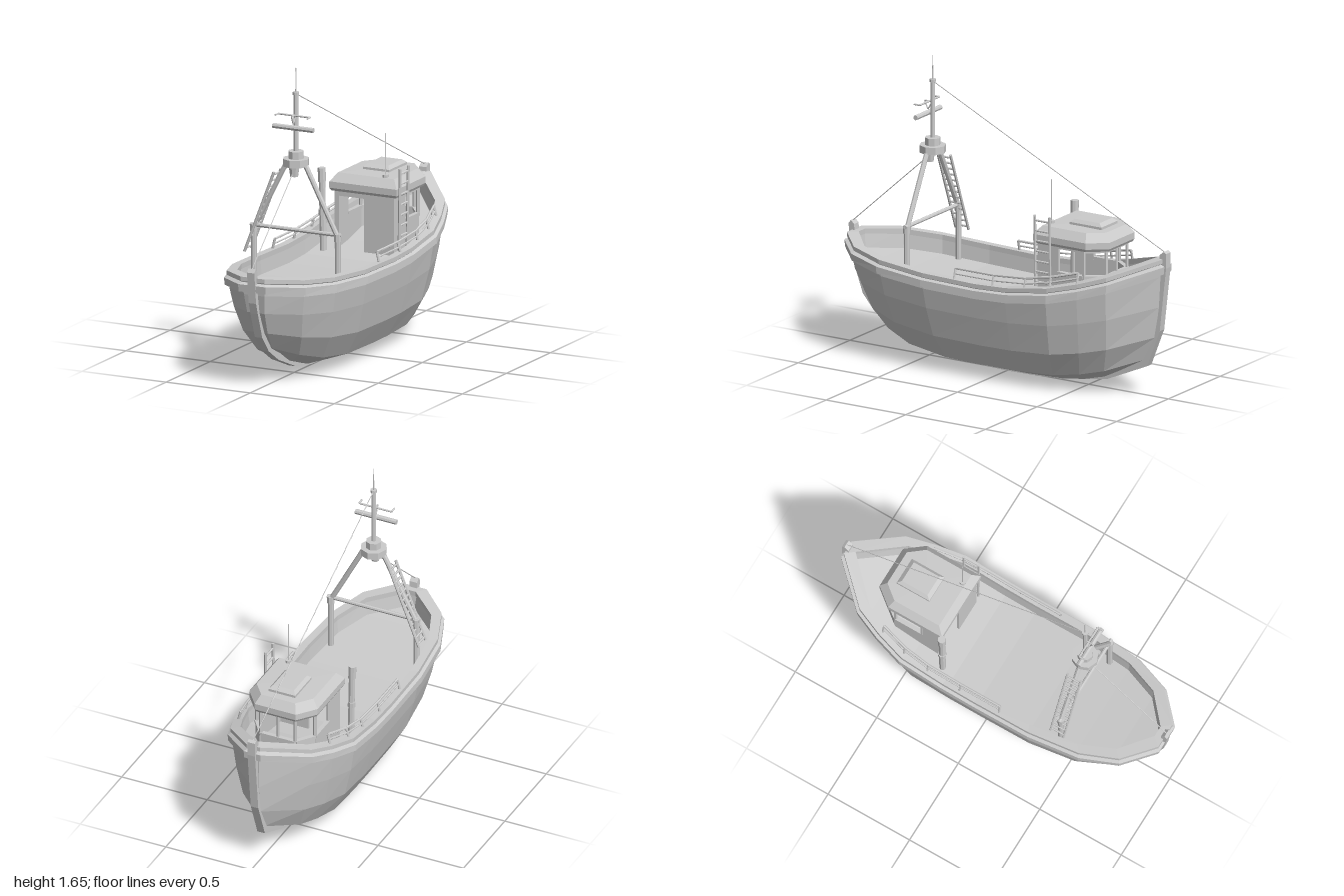
import * as THREE from 'three';

const mat = new THREE.MeshStandardMaterial({ color: 0xcccccc, flatShading: true, side: THREE.DoubleSide });
const V = (x, y, z) => new THREE.Vector3(x, y, z);
const lerp = THREE.MathUtils.lerp;

function add(parent, name, geo) {
  const m = new THREE.Mesh(geo, mat);
  m.name = name;
  parent.add(m);
  return m;
}

// Skin a stack of closed rings of points
function loft(rings) {
  const n = rings[0].length, idx = [];
  for (let j = 0; j < rings.length - 1; j++) {
    for (let i = 0; i < n; i++) {
      const a = j * n + i, b = j * n + (i + 1) % n;
      idx.push(a, b, b + n, a, b + n, a + n);
    }
  }
  const g = new THREE.BufferGeometry().setFromPoints(rings.flat());
  g.setIndex(idx);
  const flat = g.toNonIndexed();
  flat.computeVertexNormals();
  return flat;
}

// Round bar between two points
function rod(parent, name, a, b, r, r2 = r, sides = 8) {
  const d = b.clone().sub(a);
  const m = add(parent, name, new THREE.CylinderGeometry(r2, r, d.length(), sides));
  m.position.copy(a).add(b).multiplyScalar(0.5);
  m.quaternion.setFromUnitVectors(V(0, 1, 0), d.normalize());
  return m;
}

function pipe(parent, name, pts, r) {
  for (let i = 0; i < pts.length - 1; i++) rod(parent, name, pts[i], pts[i + 1], r, r, 6);
}

function ladder(parent, name, bottom, top, half, rungs) {
  const g = new THREE.Group();
  g.name = name;
  parent.add(g);
  const side = V(0, 0, half);
  for (const s of [-1, 1]) {
    const o = side.clone().multiplyScalar(s);
    rod(g, 'ladderSide', bottom.clone().add(o), top.clone().add(o), 0.008, 0.008, 6);
  }
  for (let i = 0; i < rungs; i++) {
    const p = bottom.clone().lerp(top, (i + 0.5) / rungs);
    rod(g, 'rung', p.clone().sub(side), p.clone().add(side), 0.006, 0.006, 6);
  }
}

// Hull waterlines: half width, middle height, stern z/y, bow z/y, curve power
const levels = [
  [0.06, 0.02, 0.70, 0.15, -0.80, 0.16, 4],
  [0.20, 0.07, 0.80, 0.20, -0.87, 0.20, 3],
  [0.275, 0.20, 0.88, 0.30, -0.93, 0.33, 2.6],
  [0.315, 0.36, 0.935, 0.42, -0.955, 0.50, 2.2],
  [0.335, 0.47, 0.955, 0.52, -0.965, 0.67, 2],
  [0.33, 0.545, 0.965, 0.61, -0.97, 0.76, 2],
];
// Stations from stern to bow: position, plan fullness
const stations = [[1, 0], [1, 0.2], [0.85, 0.68], [0.64, 0.91], [0.34, 1], [0, 1], [-0.2, 1],
  [-0.46, 0.99], [-0.63, 0.86], [-0.78, 0.7], [-1, 0.1], [-1, 0]];

function hullPoint([t, p], level, out, up) {
  const j = Math.min(Math.floor(level), 4);
  const [w, mid, zs, ys, zb, yb, k] = levels[j].map((v, i) => lerp(v, levels[j + 1][i], level - j));
  const s = Math.pow(Math.abs(t), k);
  const x = w * Math.pow(p, 1 + (5 - level) * 0.06);
  return V(p ? Math.max(x + out, 0) : 0, lerp(mid, t > 0 ? ys : yb, s) + up,
    Math.abs(t) * (t > 0 ? zs : zb) * (1 + out * 1.2));
}

// Closed ring around the whole hull
function ring(level, out = 0, up = 0) {
  const half = stations.map((s) => hullPoint(s, level, out, up));
  return half.concat(half.map((p) => V(-p.x, p.y, p.z)).reverse());
}
const centred = (r) => r.map((p) => V(0, p.y, p.z));

function buildHull(g) {
  const bottom = ring(0);
  add(g, 'hull', loft([centred(bottom), bottom, ...[1, 2, 3, 4, 5].map((l) => ring(l))]));
  add(g, 'bulwarkInside', loft([ring(5, -0.03), ring(5, -0.04, -0.1)]));
  const edge = ring(5, -0.04, -0.095);
  add(g, 'deck', loft([edge, centred(edge)]));
  add(g, 'gunwale', loft([ring(5, -0.035, -0.02), ring(5, 0, -0.02), ring(5, 0.006, -0.015),
    ring(5, 0.006, 0.008), ring(5, -0.035, 0.008), ring(5, -0.035, -0.02)]));
  add(g, 'rubRail', loft([ring(4.2), ring(4.2, 0.018), ring(4.65, 0.018), ring(4.75)]));

  // Keel with stem and stern posts, one profile in the z-y plane
  const profile = [[0.995, 0.65], [0.975, 0.48], [0.955, 0.42], [0.905, 0.28], [0.83, 0.19], [0.72, 0.12],
    [0.52, 0.04], [0.35, 0.015], [0, 0], [-0.2, 0.003], [-0.4, 0.02], [-0.63, 0.055], [-0.88, 0.165],
    [-0.96, 0.37], [-1, 0.72], [-1, 0.8], [-0.985, 0.81], [-0.96, 0.79], [-0.95, 0.66], [-0.9, 0.38],
    [-0.81, 0.2], [-0.6, 0.1], [-0.3, 0.04], [0.3, 0.04], [0.5, 0.08], [0.7, 0.18], [0.8, 0.24],
    [0.9, 0.42], [0.95, 0.55], [0.96, 0.65], [0.98, 0.67]];
  const shape = new THREE.Shape(profile.map(([z, y]) => new THREE.Vector2(z, y)));
  const keel = new THREE.ExtrudeGeometry(shape, { depth: 0.044, bevelEnabled: false });
  add(g, 'keelAndPosts', keel.translate(0, 0, -0.022).rotateY(-Math.PI / 2));
}

function buildCabin(g) {
  const wall = (a, b, y0, y1, t = 0.014) => {
    const dx = b[0] - a[0], dz = b[1] - a[1];
    const m = add(g, 'cabinWall', new THREE.BoxGeometry(Math.hypot(dx, dz), y1 - y0, t));
    m.position.set((a[0] + b[0]) / 2, (y0 + y1) / 2, (a[1] + b[1]) / 2);
    m.rotation.y = -Math.atan2(dz, dx);
  };
  // Window band around the front, solid walls aft
  const line = [[0.17, -0.42], [0.17, -0.58], [0.1, -0.675], [-0.1, -0.675], [-0.17, -0.58], [-0.17, -0.42]];
  line.forEach((p, i) => {
    rod(g, 'windowPost', V(p[0], 0.63, p[1]), V(p[0], 0.8, p[1]), 0.01, 0.01, 6);
    if (i === line.length - 1) return;
    wall(p, line[i + 1], 0.46, 0.645);
    wall(p, line[i + 1], 0.635, 0.65, 0.024);
    wall(p, line[i + 1], 0.775, 0.8);
  });
  rod(g, 'windowPost', V(0, 0.63, -0.675), V(0, 0.8, -0.675), 0.008, 0.008, 6);
  for (const s of [-1, 1]) wall([s * 0.17, -0.3], [s * 0.17, -0.42], 0.45, 0.8);
  wall([0, -0.3], [0.177, -0.3], 0.45, 0.8);
  wall([-0.177, -0.3], [-0.15, -0.3], 0.45, 0.8);
  wall([-0.15, -0.3], [0, -0.3], 0.765, 0.8);

  // Roof with sloped edges, and hatch
  const outline = [[0.2, 0.22], [0.2, -0.11], [0.12, -0.21], [-0.12, -0.21], [-0.2, -0.11], [-0.2, 0.22]];
  const roofRing = (s, y) => outline.map(([x, z]) => V(x * s, y, z * s - 0.5));
  add(g, 'roof', loft([roofRing(0, 0.79), roofRing(0.96, 0.79), roofRing(1, 0.805), roofRing(1, 0.84),
    roofRing(0.83, 0.885), roofRing(0, 0.89)]));
  const hatchRing = (s, y) => [[1, 1], [1, -1], [-1, -1], [-1, 1]].map(([x, z]) => V(x * 0.078 * s, y, z * 0.1 * s - 0.53));
  add(g, 'hatch', loft([hatchRing(1, 0.88), hatchRing(1, 0.9), hatchRing(0.78, 0.917), hatchRing(0, 0.917)]));

  rod(g, 'aerialBase', V(0.105, 0.86, -0.335), V(0.105, 0.9, -0.335), 0.016);
  rod(g, 'aerial', V(0.105, 0.9, -0.335), V(0.105, 1.125, -0.335), 0.003, 0.003, 5);
  ladder(g, 'cabinLadder', V(0.205, 0.5, -0.345), V(0.212, 0.95, -0.345), 0.046, 8);

  // Exhaust stack beside the door
  rod(g, 'exhaust', V(-0.225, 0.45, -0.26), V(-0.232, 0.85, -0.26), 0.018);
  rod(g, 'exhaustBand', V(-0.229, 0.66, -0.26), V(-0.23, 0.69, -0.26), 0.022);
  rod(g, 'exhaustCap', V(-0.232, 0.84, -0.26), V(-0.235, 0.915, -0.26), 0.022);
}

function buildMast(g) {
  const z = 0.48;
  for (const s of [-1, 1]) {
    rod(g, 'mastLeg', V(s * 0.25, 0.45, z), V(s * 0.25, 0.76, z), 0.016);
    rod(g, 'legCollar', V(s * 0.25, 0.735, z), V(s * 0.25, 0.775, z), 0.021);
    rod(g, 'mastStrut', V(s * 0.25, 0.755, z), V(s * 0.05, 1.14, z), 0.014);
  }
  rod(g, 'crossbar', V(-0.27, 0.77, z), V(0.27, 0.77, z), 0.011);

  // Mast head collars and lamp
  rod(g, 'mastHead', V(0, 1.12, z), V(0, 1.16, z), 0.072);
  rod(g, 'mastHeadTop', V(0, 1.16, z), V(0, 1.2, z), 0.042);
  rod(g, 'lamp', V(0, 1.065, z + 0.02), V(0, 1.12, z + 0.02), 0.022, 0.03);
  rod(g, 'mastPole', V(0, 1.18, z), V(0, 1.51, z), 0.013);
  rod(g, 'mastCap', V(0, 1.505, z), V(0, 1.52, z), 0.018);
  rod(g, 'mastAerial', V(0, 1.52, z), V(0, 1.65, z), 0.004, 0.002, 5);

  // Radar bar and yard with turned ends
  rod(g, 'radarBar', V(-0.12, 1.33, z + 0.03), V(0.12, 1.33, z + 0.03), 0.014);
  rod(g, 'radarBracket', V(0, 1.33, z), V(0, 1.33, z + 0.03), 0.01);
  pipe(g, 'yard', [V(-0.095, 1.395, z + 0.055), V(-0.095, 1.395, z + 0.02), V(0.095, 1.395, z + 0.02),
    V(0.095, 1.395, z + 0.055)], 0.005);
  pipe(g, 'yardBracket', [V(0, 1.395, z + 0.05), V(0, 1.395, z), V(0, 1.35, z + 0.03), V(0, 1.395, z + 0.05)], 0.004);

  ladder(g, 'mastLadder', V(-0.285, 0.63, z), V(-0.11, 1.08, z), 0.04, 13);
  rod(g, 'foreStay', V(0, 1.51, z), V(0, 0.8, -0.985), 0.0025, 0.0025, 5);
  rod(g, 'backStay', V(0, 1.09, z + 0.03), V(0, 0.665, 0.98), 0.0025, 0.0025, 5);
}

// Hand rails standing on the bulwark
function buildRails(g) {
  for (const s of [-1, 1]) {
    const base = [V(s * 0.318, 0.55, 0.14), V(s * 0.318, 0.55, -0.1), V(s * 0.318, 0.565, -0.3),
      V(s * 0.305, 0.592, -0.45), V(s * 0.27, 0.63, -0.6)];
    const lift = (p, h) => V(p.x - s * h * 0.25, p.y + h, p.z);
    const tops = base.map((p) => lift(p, 0.06));
    pipe(g, 'handRail', tops, 0.007);
    pipe(g, 'midRail', base.map((p) => lift(p, 0.032)), 0.005);
    base.forEach((p, i) => rod(g, 'railPost', p, tops[i], 0.007, 0.007, 6));
  }
}

export function createModel() {
  const model = new THREE.Group();
  model.name = 'fishingBoat';
  for (const [name, build] of [['hullGroup', buildHull], ['cabin', buildCabin], ['mast', buildMast], ['rails', buildRails]]) {
    const g = new THREE.Group();
    g.name = name;
    build(g);
    model.add(g);
  }
  return model;
}
